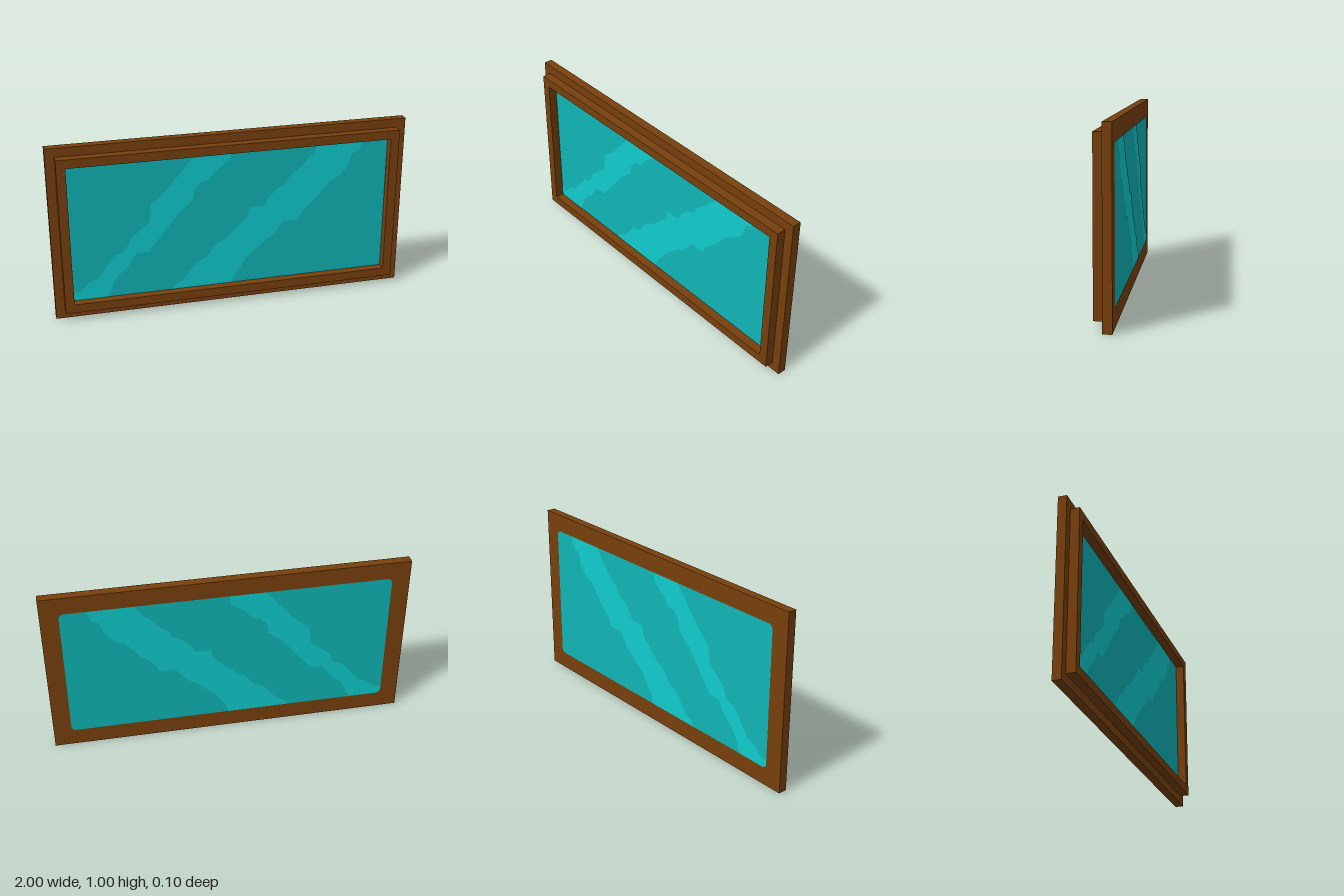
import * as THREE from 'three';

const makeMaterial = (name, color, side = THREE.FrontSide) => {
  const m = new THREE.MeshStandardMaterial({ color, side });
  m.name = name;
  return m;
};

// Rectangle centred on x = 0, y = 0.5, with optional rounded corners
function rectangle(w, h, r = 0, Type = THREE.Shape) {
  const s = new Type(), x = w / 2, b = 0.5 - h / 2, t = 0.5 + h / 2;
  s.moveTo(-x + r, b);
  s.lineTo(x - r, b);
  if (r) s.quadraticCurveTo(x, b, x, b + r);
  s.lineTo(x, t - r);
  if (r) s.quadraticCurveTo(x, t, x - r, t);
  s.lineTo(-x + r, t);
  if (r) s.quadraticCurveTo(-x, t, -x, t - r);
  s.lineTo(-x, b + r);
  if (r) s.quadraticCurveTo(-x, b, -x + r, b);
  return s;
}

// Outlines of the stepped diagonal reflections
const narrowStreak = [
  [-0.88, 0.1], [-0.9, 0.12], [-0.9, 0.15], [-0.86, 0.15], [-0.81, 0.2], [-0.76, 0.22], [-0.66, 0.35],
  [-0.6, 0.37], [-0.57, 0.44], [-0.46, 0.53], [-0.45, 0.63], [-0.36, 0.71], [-0.26, 0.83], [-0.2, 0.9],
  [0, 0.9], [-0.01, 0.85], [-0.09, 0.79], [-0.13, 0.74], [-0.17, 0.735], [-0.21, 0.69], [-0.22, 0.63],
  [-0.3, 0.565], [-0.39, 0.45], [-0.47, 0.35], [-0.54, 0.35], [-0.59, 0.27], [-0.64, 0.23],
  [-0.67, 0.19], [-0.69, 0.14], [-0.71, 0.1],
];
const wideStreak = [
  [-0.35, 0.1], [-0.32, 0.135], [-0.28, 0.15], [-0.2, 0.255], [-0.14, 0.28], [-0.09, 0.35], [-0.03, 0.385],
  [0.09, 0.5], [0.1, 0.555], [0.19, 0.555], [0.21, 0.6], [0.26, 0.65], [0.31, 0.67], [0.33, 0.715],
  [0.39, 0.76], [0.43, 0.81], [0.46, 0.83], [0.5, 0.9],
  [0.755, 0.9], [0.735, 0.84], [0.69, 0.815], [0.675, 0.75], [0.62, 0.69], [0.57, 0.67], [0.49, 0.575],
  [0.41, 0.5], [0.39, 0.45], [0.3, 0.45], [0.24, 0.37], [0.18, 0.33], [0.09, 0.25], [0.02, 0.15], [0, 0.1],
];

export function createModel() {
  const model = new THREE.Group();
  model.name = 'framedWindow';
  const wood = makeMaterial('brown wood', 0x78400d);
  const glass = makeMaterial('teal glass', 0x10b5b6, THREE.DoubleSide);
  const shine = makeMaterial('light teal reflection', 0x10cccd, THREE.DoubleSide);

  const add = (name, geometry, material, z) => {
    const mesh = new THREE.Mesh(geometry, material);
    mesh.name = name;
    mesh.position.z = z;
    model.add(mesh);
    return mesh;
  };

  // Solid backing panel
  add('backPanel', new THREE.BoxGeometry(2, 1, 0.048), wood, -0.024).position.y = 0.5;

  // Raised front frame around the recessed pane
  const frame = rectangle(1.9, 0.9);
  frame.holes.push(rectangle(1.8, 0.8, 0, THREE.Path));
  add('frontFrame', new THREE.ExtrudeGeometry(frame, { depth: 0.05, bevelEnabled: false }), wood, 0);

  // Pane and reflections on both faces
  const streaks = [narrowStreak, wideStreak].map(
    (points) => new THREE.Shape(points.map(([x, y]) => new THREE.Vector2(x, y))));
  for (const [side, z, step, radius] of [['front', 0.001, 0.001, 0], ['back', -0.049, -0.001, 0.03]]) {
    add(side + 'Pane', new THREE.ShapeGeometry(rectangle(1.8, 0.8, radius)), glass, z);
    add(side + 'Reflections', new THREE.ShapeGeometry(streaks), shine, z + step);
  }
  return model;
}
